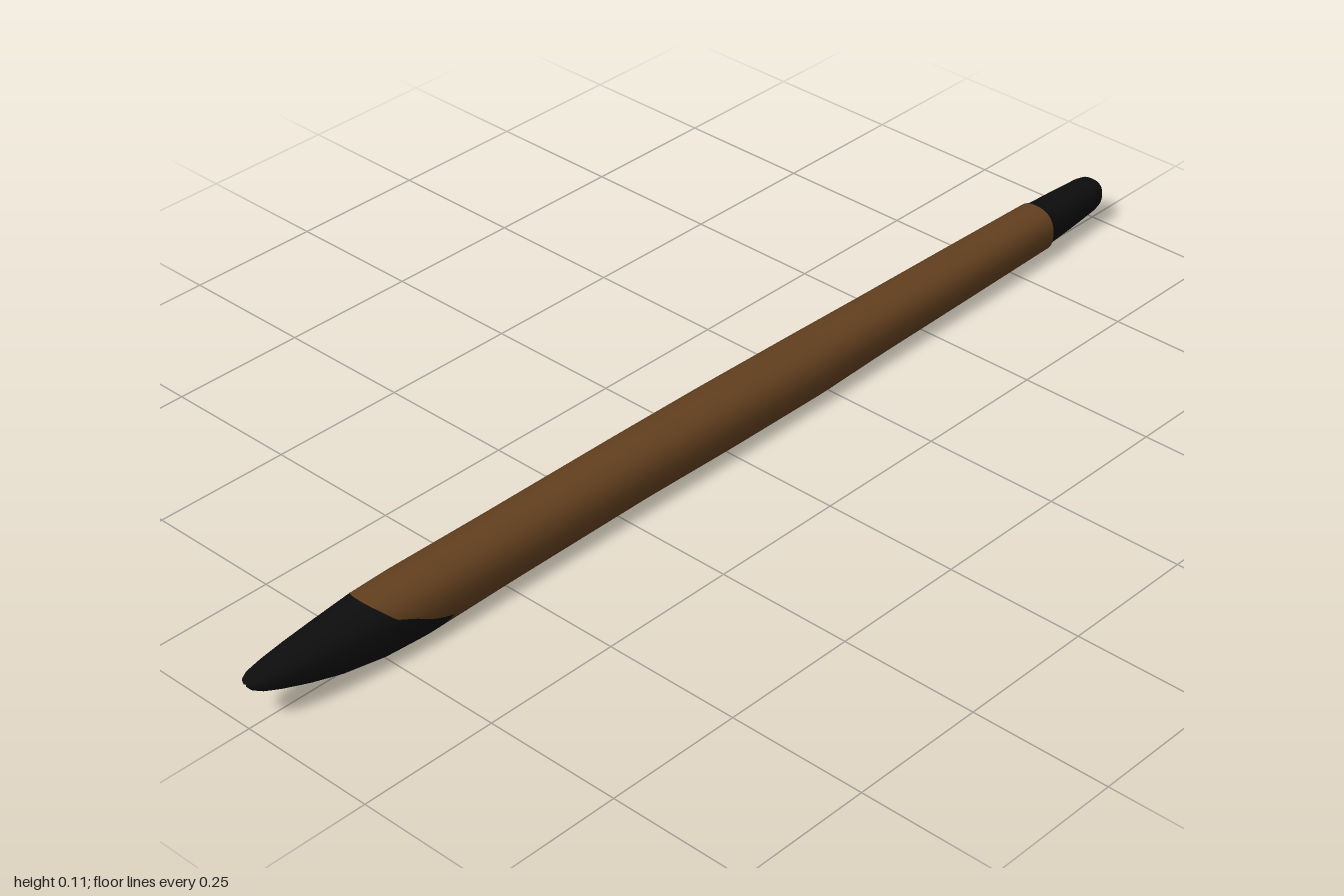
import * as THREE from 'three';

// Stations along the shaft: z, bottom y, top y, half width
const stations = [
  [-1, 0.06, 0.064, 0.002], [-0.997, 0.043, 0.083, 0.02], [-0.988, 0.035, 0.09, 0.027],
  [-0.97, 0.031, 0.093, 0.031], [-0.9, 0.024, 0.096, 0.035], [-0.836, 0.019, 0.098, 0.038],
  [-0.83, 0.015, 0.101, 0.042], [-0.6, 0.012, 0.104, 0.046], [-0.38, 0.009, 0.107, 0.049],
  [-0.22, 0.005, 0.109, 0.053], [0, 0.006, 0.113, 0.054], [0.2, 0.009, 0.115, 0.053],
  [0.5, 0.007, 0.115, 0.053], [0.68, 0.004, 0.116, 0.054], [0.76, 0.008, 0.115, 0.051],
  [0.84, 0.021, 0.109, 0.044], [0.9, 0.038, 0.104, 0.037], [0.95, 0.055, 0.099, 0.029],
  [0.98, 0.067, 0.095, 0.022], [0.994, 0.075, 0.092, 0.014], [1, 0.083, 0.086, 0.002],
];

// Edge of the dark tip: height around the section, z
const tipEdge = [[-1, 0.68], [-0.4, 0.63], [0, 0.69], [0.4, 0.745], [1, 0.775]];

function sample(table, key) {
  let i = 1;
  while (i < table.length - 1 && table[i][0] < key) i++;
  const a = table[i - 1], b = table[i];
  const t = THREE.MathUtils.clamp((key - a[0]) / (b[0] - a[0]), 0, 1);
  return a.map((v, k) => v + (b[k] - v) * t);
}

// Point on the rounded-square section at angle a, station z
function surface(a, z, lift) {
  const [, low, high, half] = sample(stations, z);
  const soft = (v) => Math.sign(v) * Math.pow(Math.abs(v), 0.85);
  return [
    soft(Math.cos(a)) * (half + lift),
    (low + high) / 2 + soft(Math.sin(a)) * ((high - low) / 2 + lift),
    z,
  ];
}

// Skin between two z limits, each of which may vary around the section
function skin(zStart, zEnd, rings, ease = (t) => t, a0 = 0, a1 = Math.PI * 2, lift = 0) {
  const closed = a1 - a0 > 6;
  const sides = closed ? 48 : 6;
  const columns = closed ? sides : sides + 1;
  const positions = [], index = [];
  for (let r = 0; r <= rings; r++) {
    for (let i = 0; i < columns; i++) {
      const a = a0 + ((a1 - a0) * i) / sides;
      const z = THREE.MathUtils.lerp(zStart(a), zEnd(a), ease(r / rings));
      positions.push(...surface(a, z, lift));
    }
  }
  for (let r = 0; r < rings; r++) {
    for (let i = 0; i < sides; i++) {
      const j = (i + 1) % columns;
      const p = r * columns + i, q = r * columns + j;
      index.push(p, q, q + columns, p, q + columns, p + columns);
    }
  }
  const geometry = new THREE.BufferGeometry();
  geometry.setAttribute('position', new THREE.Float32BufferAttribute(positions, 3));
  geometry.setIndex(index);
  geometry.computeVertexNormals();
  return geometry;
}

export function createModel() {
  const model = new THREE.Group();
  model.name = 'pointedStick';
  const wood = new THREE.MeshStandardMaterial({ color: 0x63401f });
  wood.name = 'brownWood';
  const black = new THREE.MeshStandardMaterial({ color: 0x0d0d0d });
  black.name = 'charredBlack';

  const add = (name, geometry, material) => {
    const mesh = new THREE.Mesh(geometry, material);
    mesh.name = name;
    model.add(mesh);
  };
  const at = (z) => () => z;
  const edge = (a) => sample(tipEdge, Math.sin(a))[1];

  add('shaft', skin(at(-0.83), edge, 60), wood);
  // Rings bunch up toward the rounded ends
  add('tip', skin(edge, at(1), 36, (t) => 1 - (1 - t) ** 2), black);
  add('endCap', skin(at(-1), at(-0.83), 32, (t) => t * t), black);
  // Small dark knot on the right side
  add('knot', skin(at(-0.638), at(-0.622), 2, undefined, Math.PI - 0.12, Math.PI + 0.08, 0.0008), black);
  return model;
}
